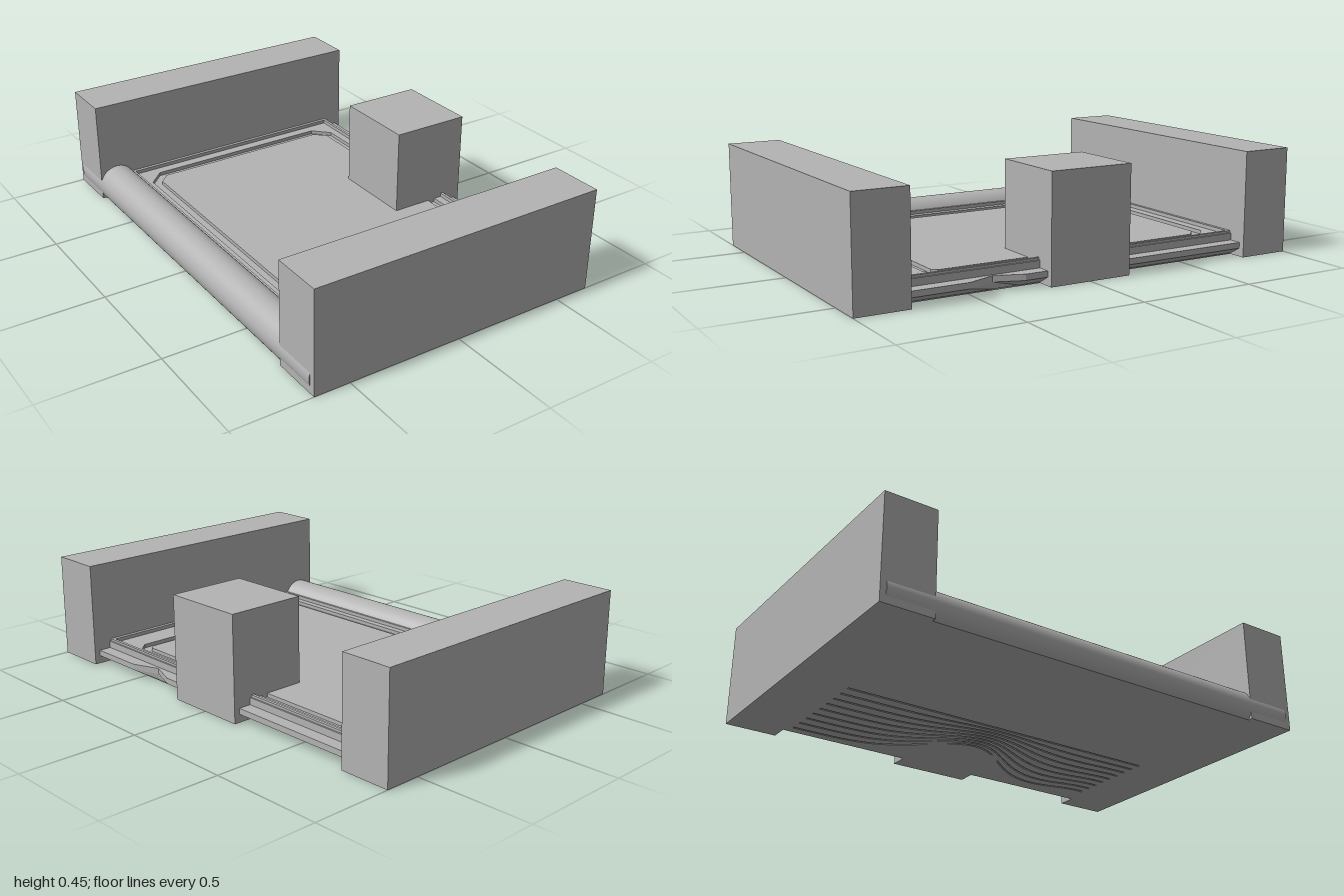
import * as THREE from 'three';

const grey = new THREE.MeshStandardMaterial({ color: 0xb3b3b3 });
grey.name = 'plain grey';

// Outline in plan: points are [x, z]
const plan = (pts, Type = THREE.Shape) => new Type(pts.map(([x, z]) => new THREE.Vector2(x, z)));
const rect = (x0, x1, z0, z1) => [[x0, z0], [x1, z0], [x1, z1], [x0, z1]];

// Upright slab from a plan outline, between two heights
function slab(pts, y0, y1, holes = []) {
  const shape = plan(pts);
  shape.holes = holes.map((h) => plan(h, THREE.Path));
  const geo = new THREE.ExtrudeGeometry(shape, { depth: y1 - y0, bevelEnabled: false });
  return geo.rotateX(Math.PI / 2).translate(0, y1, 0);
}

export function createModel() {
  const model = new THREE.Group();
  const add = (name, geo) => {
    const mesh = new THREE.Mesh(geo, grey);
    mesh.name = name;
    model.add(mesh);
  };
  const block = (name, x0, x1, z0, z1) =>
    add(name, new THREE.BoxGeometry(x1 - x0, 0.45, z1 - z0)
      .translate((x0 + x1) / 2, 0.225, (z0 + z1) / 2));

  // Tall blocks
  block('frontBlock', -0.655, 0.655, 0.772, 1);
  block('backBlock', -0.655, 0.655, -1, -0.775);
  block('sideBlock', 0.31, 0.655, -0.185, 0.182);

  // Rounded spine, cut flat at the ground
  const spine = new THREE.Shape();
  const cut = Math.asin(0.06 / 0.085);
  spine.absarc(0, 0.06, 0.085, -cut, Math.PI + cut, false);
  spine.closePath();
  add('spine', new THREE.ExtrudeGeometry(spine, { depth: 1.95, bevelEnabled: false, curveSegments: 48 })
    .translate(-0.575, 0, -0.975).toNonIndexed());
  const spineGeo = model.getObjectByName('spine').geometry;
  const pos = spineGeo.attributes.position, nor = spineGeo.attributes.normal;
  for (let i = 0; i < pos.count; i++) { // smooth the round face only
    if (Math.abs(nor.getZ(i)) > 0.5 || nor.getY(i) < -0.95) continue;
    const n = new THREE.Vector3(pos.getX(i) + 0.575, pos.getY(i) - 0.06, 0).normalize();
    nor.setXYZ(i, n.x, n.y, 0);
  }

  // Wavy grooves in the underside, bending round the side block and the notch
  const bell = (z, c, w) => Math.exp(-(((z - c) / w) ** 2));
  const grooves = [];
  for (let i = 0; i < 9; i++) {
    const x0 = 0.04 + i * 0.061, a = [], b = [];
    for (let j = 0; j <= 40; j++) {
      const z = -0.75 + j * 0.0375;
      const x = x0 - (x0 - 0.04) * (0.54 * bell(z, 0, 0.27) + 0.14 * bell(z, 0.72, 0.2));
      a.push([x - 0.005, z]);
      b.unshift([x + 0.005, z]);
    }
    grooves.push([...a, ...b]);
  }
  add('underside', slab(rect(-0.58, 0.575, -0.78, 0.78), 0, 0.006, grooves));

  // Base with an undercut right edge and a thumb notch
  const edge = [[-0.58, -0.78], [0.63, -0.78], [0.63, 0.28], [0.585, 0.4],
    [0.63, 0.52], [0.63, 0.78], [-0.58, 0.78]];
  const undercut = slab(edge, 0.006, 0.035);
  const p = undercut.attributes.position;
  for (let i = 0; i < p.count; i++) {
    if (p.getX(i) > 0.5 && p.getY(i) < 0.02) p.setX(i, 0.58);
  }
  undercut.computeVertexNormals();
  add('undercutBase', undercut);
  add('ledge', slab(edge, 0.035, 0.06));

  // Tray: body, thin raised rim and channelled panel
  const outer = [[-0.46, -0.645], [-0.39, -0.715], [0.45, -0.715], [0.52, -0.645], [0.52, 0.605],
    [0.48, 0.64], [0.15, 0.64], [0.08, 0.71], [-0.395, 0.71], [-0.46, 0.645]];
  const inner = [[-0.42, -0.63], [-0.375, -0.675], [0.435, -0.675], [0.485, -0.63], [0.485, 0.58],
    [0.465, 0.6], [0.135, 0.6], [0.065, 0.67], [-0.38, 0.67], [-0.42, 0.63]];
  add('trayBody', slab(rect(-0.56, 0.575, -0.78, 0.78), 0.06, 0.068));
  add('trayBorder', slab(rect(-0.56, 0.575, -0.78, 0.78), 0.068, 0.084, [outer]));
  add('trayPanel', slab(inner, 0.068, 0.084));
  const rimHole = rect(-0.49, 0.555, -0.76, 0.755);
  add('rimLower', slab(rect(-0.56, 0.575, -0.78, 0.78), 0.084, 0.09, [rimHole]));
  add('rimUpper', slab(rect(-0.56, 0.568, -0.78, 0.78), 0.09, 0.1, [rimHole]));
  return model;
}
